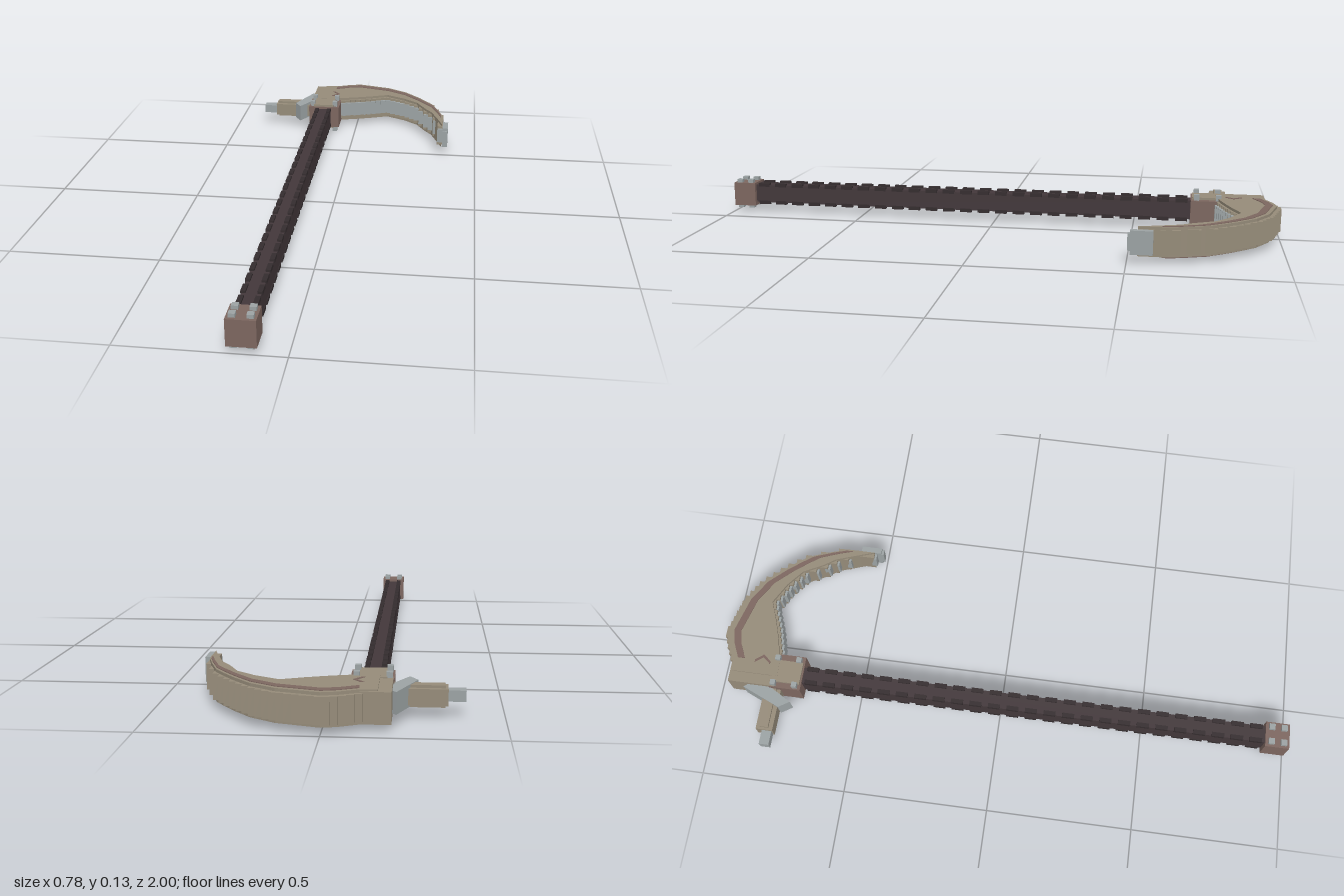
import * as THREE from 'three';

const mat = (name, color) => {
  const m = new THREE.MeshStandardMaterial({ color });
  m.name = name;
  return m;
};

export function createModel() {
  const bone = mat('bone', 0x958b79);
  const steel = mat('steel', 0x9ba2a3);
  const copper = mat('copper', 0x7c665f);
  const grip = mat('darkGrip', 0x42373a);
  const gripTooth = mat('gripTooth', 0x342c2e);

  const root = new THREE.Group();
  root.name = 'scythe';
  const MID = 0.066, AXIS = -0.13;

  const add = (name, geo, material, parent = root) => {
    const m = new THREE.Mesh(geo, material);
    m.name = name;
    parent.add(m);
    return m;
  };
  // box from its extents
  const box = (name, material, x0, x1, y0, y1, z0, z1, parent = root) => {
    const g = new THREE.BoxGeometry(x1 - x0, y1 - y0, z1 - z0);
    g.translate((x0 + x1) / 2, (y0 + y1) / 2, (z0 + z1) / 2);
    return add(name, g, material, parent);
  };
  // flat plate from an outline of [x, z] points
  const plate = (name, material, pts, y0, y1, parent = root) => {
    const shape = new THREE.Shape(pts.map(([x, z]) => new THREE.Vector2(x, z)));
    const g = new THREE.ExtrudeGeometry(shape, { depth: y1 - y0, bevelEnabled: false });
    g.rotateX(Math.PI / 2);
    g.translate(0, y1, 0);
    return add(name, g, material, parent);
  };
  const group = (name) => {
    const g = new THREE.Group();
    g.name = name;
    root.add(g);
    return g;
  };

  // Handle with rows of teeth along its four edges
  const handle = group('handle');
  box('handleCore', grip, AXIS - 0.029, AXIS + 0.029, 0.034, 0.1, -0.72, 0.93, handle);
  for (let i = 0; i < 25; i++) {
    const z = -0.69 + i * 0.0648;
    for (const s of [-1, 1]) {
      const x = AXIS + s * 0.0245;
      box('upperTooth', gripTooth, x - 0.0075, x + 0.0075, 0.094, 0.107, z, z + 0.042, handle);
      box('lowerTooth', gripTooth, x - 0.0075, x + 0.0075, 0.027, 0.04, z, z + 0.042, handle);
    }
  }

  // Pommel and collar, each with studs
  const studs = (parent, dx, zs, r, y0, y1) => {
    for (const s of [-1, 1]) for (const z of zs) {
      const x = AXIS + s * dx;
      box('stud', steel, x - r, x + r, y0, y1, z - r, z + r, parent);
    }
  };
  const pommel = group('pommel');
  box('pommelBlock', copper, -0.174, -0.086, 0.022, 0.108, 0.918, 1, pommel);
  studs(pommel, 0.026, [0.938, 0.98], 0.01, 0.012, 0.12);

  const collar = group('collar');
  box('collarBlock', copper, -0.19, -0.066, 0.022, 0.108, -0.81, -0.7, collar);
  box('collarPlate', bone, -0.17, -0.09, 0.016, 0.116, -0.81, -0.705, collar);
  studs(collar, 0.046, [-0.795, -0.72], 0.009, 0, 0.128);

  // Head block joining handle, spike and blade
  const head = group('head');
  box('headBlock', bone, -0.187, -0.09, 0.022, 0.112, -0.955, -0.79, head);

  // Blade outline: outer (back) and inner (cutting) edges as [x, z]
  const outer = [[-0.11, -0.96], [-0.045, -0.99], [0, -1], [0.125, -0.966], [0.2, -0.92],
    [0.27, -0.845], [0.32, -0.776], [0.345, -0.71], [0.37, -0.63], [0.39, -0.53]];
  const inner = [[-0.11, -0.77], [-0.066, -0.78], [0.03, -0.807], [0.125, -0.845], [0.2, -0.805],
    [0.256, -0.76], [0.293, -0.69], [0.335, -0.63], [0.355, -0.53], [0.39, -0.49]];
  const at = (pts, x) => {
    let i = 1;
    while (i < pts.length - 1 && pts[i][0] < x) i++;
    const [a, b] = [pts[i - 1], pts[i]];
    const t = Math.min(1, Math.max(0, (x - a[0]) / (b[0] - a[0])));
    return a[1] + (b[1] - a[1]) * t;
  };

  // Stepped columns: bone shells above and below a steel cutting edge
  const blade = group('blade');
  const N = 24, X0 = -0.11, W = 0.5 / N;
  for (let i = 0; i < N; i++) {
    const a = X0 + i * W, b = a + W, x = (a + b) / 2;
    const zo = i === 4 || i === 5 ? -1 : at(outer, x), zi = at(inner, x);
    const tip = i === N - 1;
    box('bladeColumn', tip ? steel : bone, a, b, 0.03, 0.108, zo, zi - 0.008, blade);
    box('cuttingEdge', steel, a, b, 0.043, 0.098, zi - 0.02, zi, blade);
  }

  // Raised cheek plate, inset from both edges
  const xs = [-0.15, -0.1, -0.045, 0, 0.06, 0.125, 0.2, 0.256, 0.293, 0.32, 0.345, 0.366];
  const band = (list, o, i) => [
    ...list.map((x) => [x, at(outer, x) + o]),
    ...list.slice().reverse().map((x) => [x, i(x)]),
  ];
  plate('cheekPlate', bone, band(xs, 0.014, (x) => at(inner, x) - 0.016), 0.02, 0.117, blade);

  // Copper inlay following the back of the blade, on both faces
  const inlayX = [-0.1, -0.045, 0, 0.06, 0.125, 0.2, 0.256, 0.293, 0.32, 0.345, 0.36];
  const inlay = band(inlayX, 0.028, (x) => at(outer, x) + 0.053);
  plate('upperInlay', copper, inlay, 0.115, 0.119, blade);
  plate('lowerInlay', copper, inlay, 0.016, 0.021, blade);

  // Small chevron mark on both faces
  const chevron = [[-0.11, -0.875], [-0.1, -0.875], [-0.078, -0.847], [-0.1, -0.82],
    [-0.11, -0.82], [-0.089, -0.847]];
  plate('upperChevron', copper, chevron, 0.111, 0.1185, head);
  plate('lowerChevron', copper, chevron, 0.0165, 0.023, head);

  // Rear spike with a slanted steel guard
  const spike = group('spike');
  box('spikeTip', steel, -0.39, -0.33, 0.048, 0.08, -0.808, -0.774, spike);
  box('spikeShaft', bone, -0.34, -0.18, 0.04, 0.088, -0.828, -0.77, spike);
  box('spikeSleeve', bone, -0.332, -0.18, 0.032, 0.096, -0.815, -0.785, spike);
  plate('spikeGuard', steel, [[-0.198, -0.9], [-0.185, -0.885], [-0.185, -0.81],
    [-0.232, -0.728], [-0.256, -0.765]], 0.034, 0.098, spike);

  return root;
}
